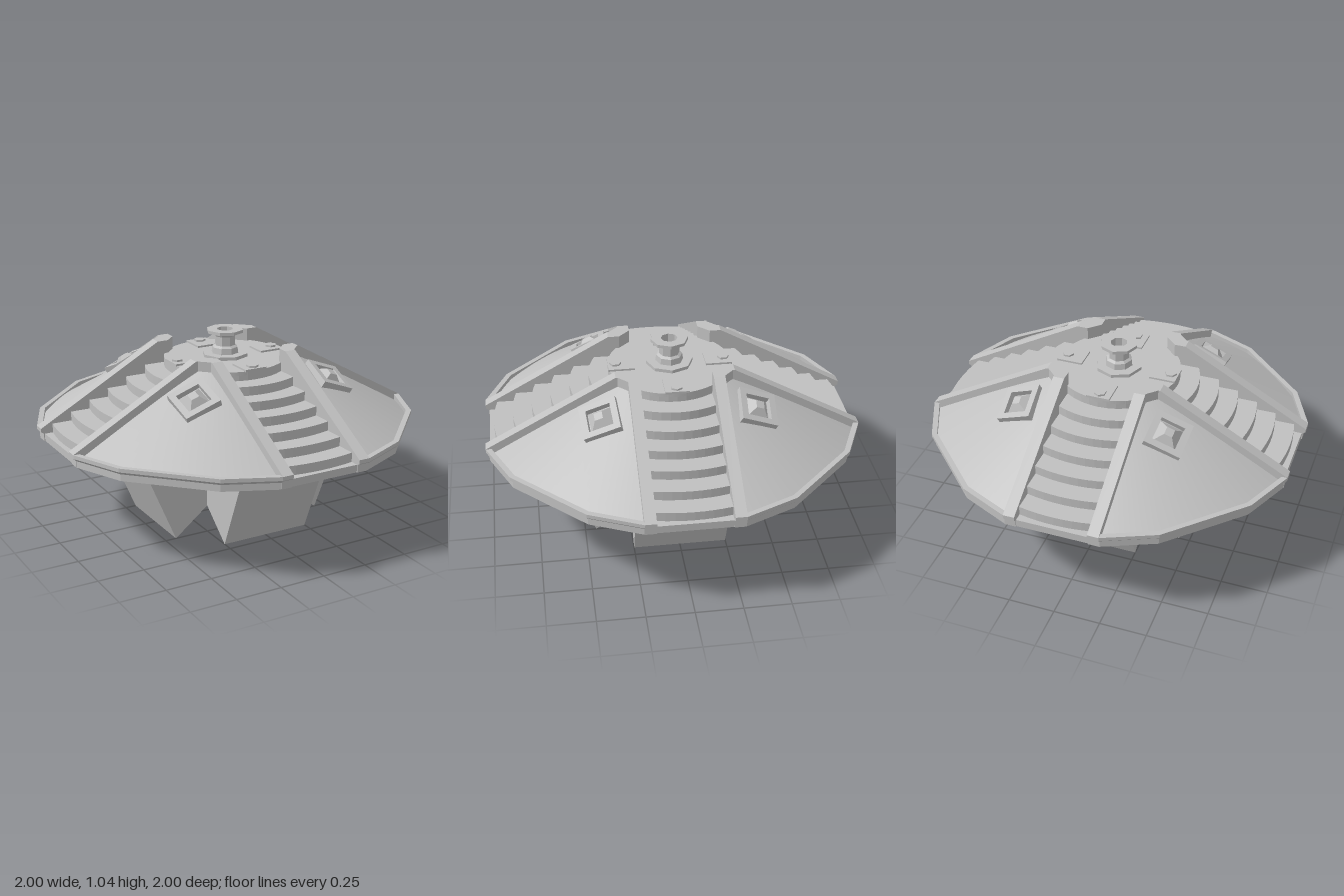
import * as THREE from 'three';

const hull = new THREE.MeshStandardMaterial({ color: 0xc0c0c0, side: THREE.DoubleSide });
hull.name = 'hull grey';

const RAIL_IN = 0.19, RAIL_OUT = 0.25, BASE = 0.51;
// Outer edge of one quarter of the roof, as x and z
const RIM = [[1, 0.25], [0.88, 0.52], [0.52, 0.88], [0.25, 1]];
const coneY = (r) => 0.55 + (1 - r) * 0.585;

function add(parent, name, geometry) {
  const mesh = new THREE.Mesh(geometry, hull);
  mesh.name = name;
  parent.add(mesh);
  return mesh;
}

function faceted(geometry) {
  const g = geometry.index ? geometry.toNonIndexed() : geometry;
  g.computeVertexNormals();
  return g;
}

function extrude(points, depth, hole) {
  const toV = (list) => list.map(([x, y]) => new THREE.Vector2(x, y));
  const shape = new THREE.Shape(toV(points));
  if (hole) shape.holes.push(new THREE.Path(toV(hole)));
  return new THREE.ExtrudeGeometry(shape, { depth, bevelEnabled: false });
}

// Surface through a grid of points given by a rule
function gridSurface(rows, cols, point) {
  const pos = [], index = [];
  for (let i = 0; i < rows; i++) {
    for (let j = 0; j < cols; j++) {
      pos.push(...point(i, j));
      if (i && j) {
        const d = i * cols + j, c = d - 1, b = d - cols, a = b - 1;
        index.push(a, c, b, b, c, d);
      }
    }
  }
  const g = new THREE.BufferGeometry();
  g.setAttribute('position', new THREE.Float32BufferAttribute(pos, 3));
  g.setIndex(index);
  g.computeVertexNormals();
  return g;
}

const square = (h) => [[-h, -h], [h, -h], [h, h], [-h, h]];

// Raised window: square frame round a blunt pyramid
function makeWindow() {
  const g = new THREE.Group();
  g.name = 'roofWindow';
  add(g, 'windowFrame', extrude(square(0.1), 0.05, square(0.066)).rotateX(-Math.PI / 2).translate(0, -0.02, 0));
  const lens = new THREE.CylinderGeometry(0.022 * Math.SQRT2, 0.066 * Math.SQRT2, 0.05, 4);
  add(g, 'windowLens', faceted(lens.rotateY(Math.PI / 4).translate(0, 0.02, 0)));
  const slope = new THREE.Vector3(0.585 / Math.SQRT2, 1, 0.585 / Math.SQRT2).normalize();
  g.quaternion.setFromUnitVectors(new THREE.Vector3(0, 1, 0), slope);
  g.position.set(0.4, coneY(0.4 * Math.SQRT2), 0.4);
  return g;
}

// Conical roof quarter with its rim, rails and window
function makeRoofQuarter() {
  const g = new THREE.Group();
  g.name = 'roofQuarter';
  const sub = 8, cols = (RIM.length - 1) * sub + 1;
  add(g, 'roofPanel', gridSurface(13, cols, (i, j) => {
    const k = Math.min(Math.floor(j / sub), RIM.length - 2), f = j / sub - k, t = i / 12;
    const [x, z] = [0, 1].map((n) => {
      const edge = (RIM[k][n] * (1 - f) + RIM[k + 1][n] * f) * 0.975;
      return 0.245 + (edge - 0.245) * t;
    });
    return [x, coneY(Math.hypot(x, z)), z];
  }));

  // Lipped rim: scale and height of each point of the section
  const section = [[0.965, 0.53], [0.965, BASE], [0.985, BASE], [0.985, 0.545], [1, 0.56], [1, 0.58], [0.972, 0.58], [0.972, 0.53]];
  add(g, 'roofRim', faceted(gridSurface(section.length, RIM.length, (i, j) => {
    const [s, y] = section[i];
    return [RIM[j][0] * s, y, RIM[j][1] * s];
  })));

  const floor = [[0.25, 0.25], ...RIM.map(([x, z]) => [x * 0.975, z * 0.975])];
  const floorShape = new THREE.Shape(floor.map(([x, z]) => new THREE.Vector2(x, z)));
  add(g, 'roofUnderside', new THREE.ShapeGeometry(floorShape).rotateX(Math.PI / 2).translate(0, 0.52, 0));

  // Sloping rails on both straight edges
  const profile = [[RAIL_OUT, BASE], [0.985, BASE], [0.985, 0.55], [1, 0.56], [1, 0.58], [0.31, 0.96], [RAIL_OUT, 0.96]];
  const width = RAIL_OUT - RAIL_IN;
  add(g, 'sideRail', extrude(profile, width).translate(0, 0, RAIL_IN));
  add(g, 'sideRail', extrude(profile, width).rotateY(-Math.PI / 2).translate(RAIL_OUT, 0, 0));

  // Chamfered post where the rails meet
  const post = [[RAIL_OUT, RAIL_IN], [0.3, RAIL_OUT], [RAIL_OUT, 0.3], [RAIL_IN, RAIL_OUT]];
  add(g, 'cornerPost', extrude(post, 0.96 - BASE).rotateX(Math.PI / 2).translate(0, 0.96, 0));
  g.add(makeWindow());
  return g;
}

// Curved flight of steps running out to the rim
function makeStairs() {
  const g = new THREE.Group();
  g.name = 'stairFlight';
  const profile = [];
  for (let i = 0; i < 7; i++) {
    const r = 0.33 + i * 0.104;
    profile.push([r, 0.89 - i * 0.0486], [r, 0.89 - (i + 1) * 0.0486]);
  }
  add(g, 'steps', faceted(gridSurface(profile.length, 9, (i, j) => {
    const [r, y] = profile[i], x = RAIL_IN * (j / 4 - 1);
    return [x, y, Math.sqrt(r * r - x * x)];
  })));
  add(g, 'threshold', new THREE.BoxGeometry(RAIL_IN * 2, 0.04, 0.06).translate(0, 0.53, 0.95));
  return g;
}

// Deck pad with a hexagonal bolt
function makePad() {
  const g = new THREE.Group();
  g.name = 'deckPad';
  add(g, 'padPlate', new THREE.BoxGeometry(0.125, 0.012, 0.14).translate(0, 0.894, 0.26));
  add(g, 'padBolt', faceted(new THREE.CylinderGeometry(0.032, 0.032, 0.012, 6).translate(0, 0.904, 0.29)));
  return g;
}

export function createModel() {
  const model = new THREE.Group();
  model.name = 'steppedDome';

  // Four identical sides
  const leg = extrude([[0.25, 0.15], [0.44, 0], [0.65, 0.5], [0.25, 0.5]], 0.5).translate(0, 0, -0.25);
  for (let i = 0; i < 4; i++) {
    const side = new THREE.Group();
    side.name = 'side';
    side.rotation.y = i * Math.PI / 2;
    side.add(makeRoofQuarter(), makeStairs(), makePad());
    add(side, 'slantedFoot', leg);
    model.add(side);
  }

  add(model, 'core', new THREE.BoxGeometry(0.5, 0.35, 0.5).translate(0, 0.325, 0));
  add(model, 'topDeck', new THREE.CylinderGeometry(0.33, 0.33, 0.02, 64).translate(0, 0.88, 0));

  // Eight-sided finial with a hollow top
  const finial = [[0.125, 0.885], [0.125, 0.908], [0.075, 0.908], [0.07, 0.94], [0.055, 0.95], [0.055, 1.0],
    [0.065, 1.018], [0.1, 1.02], [0.1, 1.037], [0.045, 1.037], [0.045, 0.99], [0, 0.99]];
  add(model, 'finial', faceted(new THREE.LatheGeometry(finial.map(([x, y]) => new THREE.Vector2(x, y)), 8)));
  return model;
}
